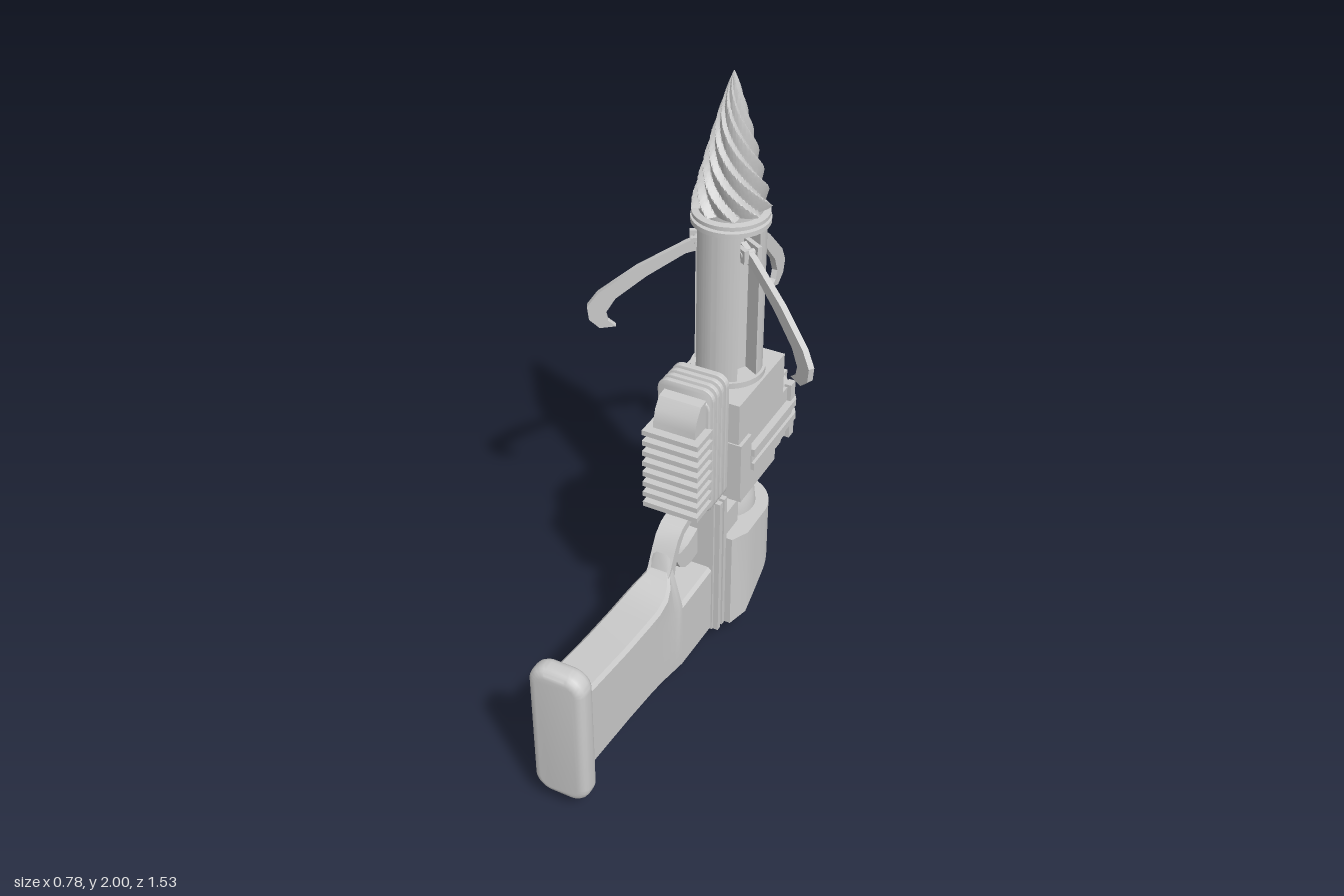
import * as THREE from 'three';
import { toCreasedNormals } from 'three/addons/utils/BufferGeometryUtils.js';

const AXIS = -0.37; // z of the barrel axis
const mat = new THREE.MeshStandardMaterial({ color: 0xcccccc, side: THREE.DoubleSide });

function add(parent, name, geo, x = 0, y = 0, z = 0) {
  const m = new THREE.Mesh(geo, mat);
  m.name = name;
  m.position.set(x, y, z);
  parent.add(m);
  return m;
}
const polygon = pts => new THREE.Shape(pts.map(p => new THREE.Vector2(...p)));
const crease = (g, a = 0.6) => toCreasedNormals(g, a);

// Box given by its ranges
function box(parent, name, [x0, x1], [y0, y1], [z0, z1]) {
  return add(parent, name, new THREE.BoxGeometry(x1 - x0, y1 - y0, z1 - z0),
    (x0 + x1) / 2, (y0 + y1) / 2, (z0 + z1) / 2);
}
// Side profile (z, y) extruded symmetrically along x
function sideProfile(shape, width) {
  const g = new THREE.ExtrudeGeometry(shape, { depth: width, bevelEnabled: false, curveSegments: 10 });
  return crease(g.rotateY(-Math.PI / 2).translate(width / 2, 0, 0));
}
// Plan outline (x, z) extruded from y0 up to y1
function planProfile(shape, y0, y1) {
  const g = new THREE.ExtrudeGeometry(shape, { depth: y1 - y0, bevelEnabled: false, curveSegments: 20 });
  return g.rotateX(Math.PI / 2).translate(0, y1, 0);
}
// Rounded upright plate with bevelled rim, centred on its own origin
function plate(w, h, d, r, bevel) {
  const a = w / 2 - bevel, b = h / 2 - bevel, s = new THREE.Shape();
  s.absarc(a - r, b - r, r, 0, Math.PI / 2);
  s.absarc(r - a, b - r, r, Math.PI / 2, Math.PI);
  s.absarc(r - a, r - b, r, Math.PI, Math.PI * 1.5);
  s.absarc(a - r, r - b, r, Math.PI * 1.5, Math.PI * 2);
  const g = new THREE.ExtrudeGeometry(s, { depth: d - 2 * bevel, bevelThickness: bevel, bevelSize: bevel, bevelSegments: 4, curveSegments: 6 });
  return crease(g.translate(0, 0, bevel - d / 2), 0.7);
}
// Surface from closed rings: at(j, i) gives the point i of ring j
function rings(rows, cols, at) {
  const pos = [], idx = [];
  for (let j = 0; j < rows; j++) for (let i = 0; i < cols; i++) pos.push(...at(j, i));
  for (let j = 0; j < rows - 1; j++) for (let i = 0; i < cols; i++) {
    const a = j * cols + i, b = j * cols + (i + 1) % cols;
    idx.push(a, b, a + cols, b, b + cols, a + cols);
  }
  const g = new THREE.BufferGeometry();
  g.setAttribute('position', new THREE.Float32BufferAttribute(pos, 3));
  g.setIndex(idx);
  g.computeVertexNormals();
  return g;
}

function buildDrill(root) {
  const g = new THREE.Group();
  g.name = 'drillHead';
  g.position.z = AXIS;
  root.add(g);
  const flutes = 9, rows = 64, cols = 144;
  add(g, 'spiralBit', crease(rings(rows, cols, (j, i) => {
    const t = j / (rows - 1), a = i / cols * Math.PI * 2;
    const phase = flutes * (a + 4.4 * t) / (Math.PI * 2), f = phase - Math.floor(phase);
    const r = 0.126 * Math.pow(1 - t, 0.85) * (0.78 + 0.22 * Math.min(f / 0.75, (1 - f) / 0.25));
    return [r * Math.sin(a), 1.57 + 0.43 * t, r * Math.cos(a)];
  }), 0.5));
  const collar = [[0, 1.585], [0.1, 1.58], [0.1, 1.555], [0.122, 1.552], [0.122, 1.54], [0.112, 1.538],
    [0.112, 1.533], [0.125, 1.531], [0.125, 1.515], [0, 1.515]].reverse();
  add(g, 'collar', crease(new THREE.LatheGeometry(collar.map(p => new THREE.Vector2(...p)), 40)));

  // Barrel: three arc walls with slots between them, around a core
  const s = new THREE.Shape(), R = 0.112, core = 0.06, half = 0.036;
  for (let k = 0; k < 3; k++) {
    const c = Math.PI / 2 + k * Math.PI * 2 / 3, lo = Math.asin(half / R), li = Math.asin(half / core);
    if (k === 0) s.moveTo(core * Math.cos(c + li), core * Math.sin(c + li));
    s.lineTo(R * Math.cos(c + lo), R * Math.sin(c + lo));
    s.absarc(0, 0, R, c + lo, c + Math.PI * 2 / 3 - lo, false);
    s.lineTo(core * Math.cos(c + Math.PI * 2 / 3 - li), core * Math.sin(c + Math.PI * 2 / 3 - li));
    s.lineTo(core * Math.cos(c + Math.PI * 2 / 3 + li), core * Math.sin(c + Math.PI * 2 / 3 + li));
  }
  add(g, 'slottedBarrel', crease(planProfile(s, 0.96, 1.52)).rotateY(Math.PI));
  add(g, 'barrelFlange', new THREE.CylinderGeometry(0.122, 0.122, 0.02, 40), 0, 0.98, 0);

  // Hooked arms, each folding out of a slot
  const hook = polygon([[-0.03, 0.02], [0.035, -0.005], [0.19, -0.09], [0.313, -0.18], [0.348, -0.228], [0.343, -0.275],
    [0.31, -0.307], [0.258, -0.302], [0.283, -0.28], [0.289, -0.25], [0.258, -0.2], [0.16, -0.122], [0.04, -0.045], [-0.03, -0.025]]);
  for (const [a, tilt] of [[Math.PI, 0.16], [1.03, 0], [-1.03, 0]]) {
    const arm = new THREE.Group();
    arm.name = 'hookArm';
    arm.position.y = 1.45;
    arm.rotation.y = a;
    g.add(arm);
    add(arm, 'hook', sideProfile(hook, 0.02), 0, 0, 0.1).rotation.x = tilt;
    for (const x of [-0.024, 0.024]) box(arm, 'pivotLug', [x - 0.008, x + 0.008], [-0.025, 0.02], [0.05, 0.125]);
    add(arm, 'pivotPin', new THREE.CylinderGeometry(0.01, 0.01, 0.07, 12).rotateZ(Math.PI / 2), 0, 0, 0.105);
  }
}

function buildHousing(root) {
  const g = new THREE.Group();
  g.name = 'housing';
  root.add(g);
  box(g, 'mainBody', [-0.13, 0.13], [0.61, 0.97], [-0.53, -0.19]);
  box(g, 'lowerBody', [-0.11, 0.11], [0.53, 0.61], [-0.53, -0.26]);
  box(g, 'sideBracket', [-0.142, 0.142], [0.61, 0.82], [-0.262, -0.185]);

  // Belt wrapped round the sides and back
  const wrap = (w, back, c) => polygon([[-w, -0.26], [w, -0.26], [w, back + c], [w - c * 0.4, back + c * 0.35],
    [w - c, back], [c - w, back], [c * 0.4 - w, back + c * 0.35], [-w, back + c]]);
  add(g, 'backBlock', planProfile(polygon([[-0.13, -0.5], [0.13, -0.5], [0.13, -0.59], [0.09, -0.63], [-0.09, -0.63], [-0.13, -0.59]]), 0.62, 0.815));
  add(g, 'beltCore', planProfile(wrap(0.145, -0.638, 0.06), 0.69, 0.75));
  for (const y of [0.68, 0.735]) add(g, 'beltRail', planProfile(wrap(0.155, -0.648, 0.06), y, y + 0.027));
  for (const s of [-1, 1]) {
    const x = s * 0.075;
    for (const y of [0.61, 0.76]) {
      box(g, 'backClip', [x - 0.017, x + 0.017], [y, y + 0.065], [-0.648, -0.58]);
      box(g, 'sideClip', [s * 0.132 - 0.012, s * 0.132 + 0.012], [y, y + 0.065], [-0.6, -0.565]);
    }
    // Eyelets on the back
    const eye = polygon([[0.01, -0.04], [-0.025, -0.035], [-0.042, -0.015], [-0.042, 0.015], [-0.025, 0.035], [0.01, 0.04]]);
    eye.holes.push(polygon([[0, -0.026], [-0.02, -0.024], [-0.032, -0.01], [-0.032, 0.01], [-0.02, 0.024], [0, 0.026]]));
    add(g, 'eyelet', sideProfile(eye, 0.04), s * 0.07, 0.9, -0.535);
  }

  // Ribbed cooling block on the front
  add(g, 'coolerBase', plate(0.175, 0.43, 0.13, 0.03, 0.008), 0, 0.835, -0.13);
  for (const [z, d] of [[-0.078, 0.017], [-0.108, 0.017], [-0.138, 0.017], [-0.171, 0.022]])
    add(g, 'coolerPlate', plate(0.195, 0.475, d, 0.035, 0.004), 0, 0.848, z);
  add(g, 'coolerBlock', sideProfile(polygon([[-0.08, 0.63], [0.005, 0.63], [0.005, 0.97], [-0.008, 1.01], [-0.035, 1.045], [-0.08, 1.05]]), 0.145));
  for (let i = 0; i < 8; i++) box(g, 'coolingFin', [-0.097, 0.097], [0.65 + i * 0.04, 0.668 + i * 0.04], [-0.07, 0.035]);
}

function buildHolder(root) {
  const g = new THREE.Group();
  g.name = 'holder';
  root.add(g);
  // Round sleeve whose underside sweeps up towards the back
  const s = new THREE.Shape();
  s.moveTo(-0.15, AXIS);
  s.absarc(0, AXIS, 0.15, Math.PI, Math.PI * 2, false);
  for (const p of [[0.15, -0.31], [0.15, -0.24], [0.12, -0.18], [-0.12, -0.18], [-0.15, -0.24], [-0.15, -0.31]]) s.lineTo(...p);
  const sleeve = planProfile(s, 0, 0.43), p = sleeve.attributes.position;
  for (let i = 0; i < p.count; i++) if (p.getY(i) < 0.1)
    p.setY(i, 0.055 + 0.155 * THREE.MathUtils.smoothstep(-p.getZ(i), 0.16, 0.5));
  sleeve.computeVertexNormals();
  add(g, 'sleeve', crease(sleeve));
  const capsule = [[0, 0], [0.04, 0.005], [0.075, 0.025], [0.097, 0.06], [0.105, 0.115], [0.1, 0.12], [0.105, 0.125],
    [0.105, 0.43], [0.1, 0.48], [0.085, 0.525], [0, 0.535]];
  add(g, 'capsule', crease(new THREE.LatheGeometry(capsule.map(q => new THREE.Vector2(...q)), 40), 0.7), 0, 0, AXIS);
  box(g, 'sleeveStep', [-0.09, 0.09], [0.42, 0.52], [-0.285, -0.17]);
  // Layered joint between grip and sleeve
  box(g, 'jointCore', [-0.08, 0.08], [0.06, 0.62], [-0.185, -0.12]);
  for (const z of [-0.14, -0.172]) box(g, 'jointPlate', [-0.098, 0.098], [0.055, 0.605], [z - 0.01, z + 0.01]);
}

function buildGrip(root) {
  const g = new THREE.Group();
  g.name = 'grip';
  root.add(g);
  // Sections: z, bottom, top, half width at the top
  const sec = [[-0.14, 0.055, 0.335, 0.075], [0.089, 0.065, 0.335, 0.075], [0.09, 0.065, 0.53, 0.03], [0.11, 0.07, 0.475, 0.04],
    [0.14, 0.078, 0.45, 0.058], [0.18, 0.09, 0.435, 0.07], [0.24, 0.105, 0.43, 0.075], [0.3, 0.117, 0.433, 0.075],
    [0.45, 0.137, 0.446, 0.075], [0.7, 0.162, 0.48, 0.075]];
  add(g, 'handle', crease(rings(sec.length, 10, (j, i) => {
    const [z, b, t, w] = sec[j], c = 0.012, m = Math.min(t - c, 0.35);
    const [x, y] = [[0.075 - c, b], [0.075, b + c], [0.075, m - c], [w, t - c], [w - c, t]][i < 5 ? i : 9 - i];
    return [i < 5 ? x : -x, y, z];
  }), 0.5));
  add(g, 'buttPlate', plate(0.19, 0.515, 0.077, 0.035, 0.028), 0, 0.312, 0.718);

  // Trigger guard and trigger
  const guard = polygon([[0.15, 0.33], [0.14, 0.44], [0.11, 0.475], [0.08, 0.53], [0.055, 0.57], [0.02, 0.595], [-0.02, 0.605],
    [-0.14, 0.605], [-0.14, 0.32]]);
  guard.holes.push(polygon([[0.09, 0.335], [0.088, 0.4], [0.07, 0.47], [0.04, 0.535], [0.01, 0.567], [-0.04, 0.58],
    [-0.11, 0.58], [-0.122, 0.565], [-0.122, 0.335]]));
  add(g, 'triggerGuard', sideProfile(guard, 0.08));
  add(g, 'trigger', sideProfile(polygon([[0.033, 0.485], [0.0, 0.472], [-0.05, 0.47], [-0.09, 0.478], [-0.13, 0.49],
    [-0.13, 0.385], [-0.07, 0.378], [-0.03, 0.388], [0.005, 0.415], [0.025, 0.45]]), 0.045));
}

export function createModel() {
  const root = new THREE.Group();
  root.name = 'grappleTool';
  buildDrill(root);
  buildHousing(root);
  buildHolder(root);
  buildGrip(root);
  return root;
}
